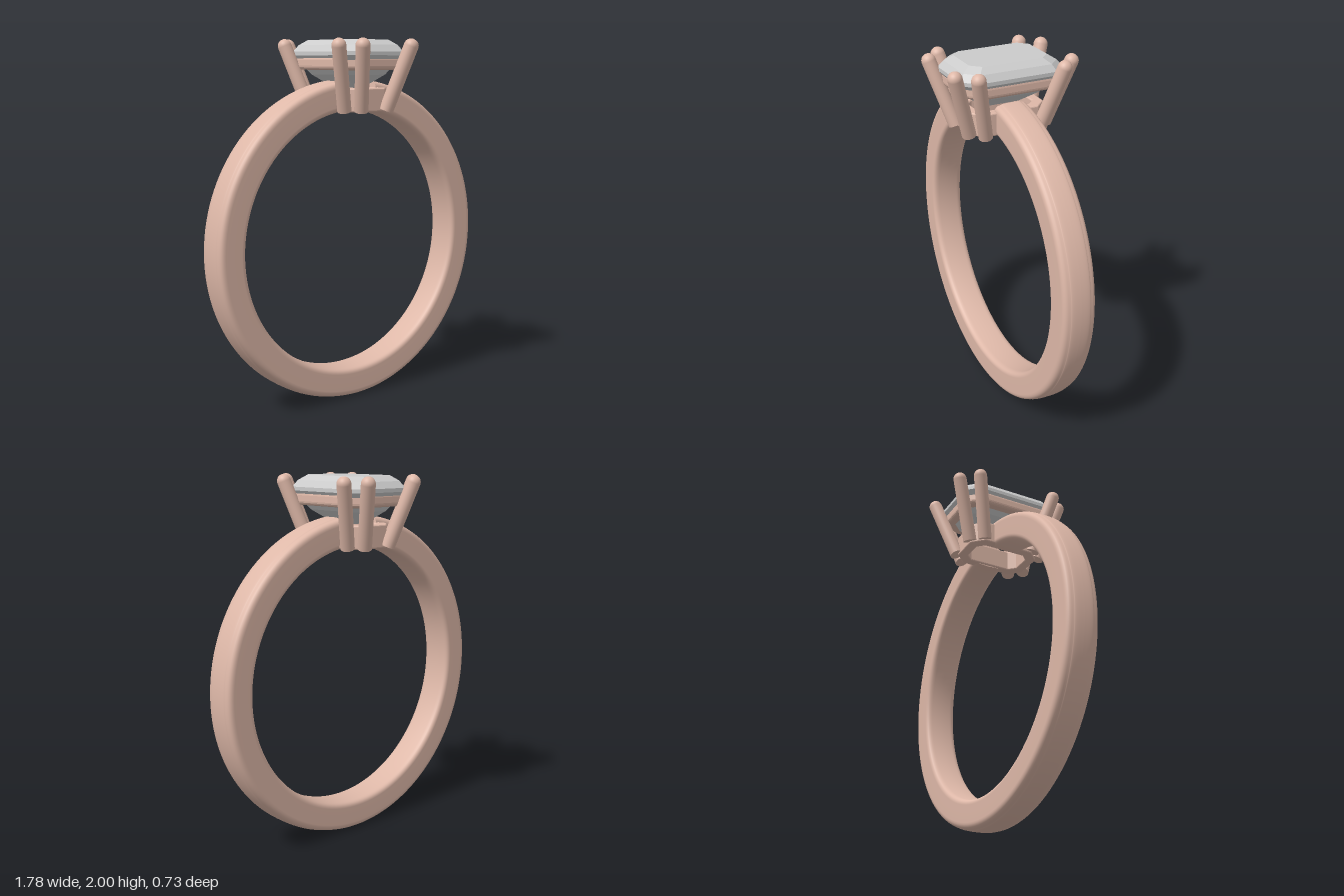
import * as THREE from 'three';
import { ConvexGeometry } from 'three/addons/geometries/ConvexGeometry.js';

const metal = new THREE.MeshStandardMaterial({ color: 0xdeb8a8, side: THREE.DoubleSide });
const gem = new THREE.MeshStandardMaterial({ color: 0xcccccc, flatShading: true });

// Rectangle with cut corners: half width a, half length b, corner cut c
function octagon(a, b, c) {
  return [[a, b - c], [a - c, b], [c - a, b], [-a, b - c], [-a, c - b], [c - a, -b], [a - c, -b], [a, c - b]]
    .map(([x, y]) => new THREE.Vector2(x, y));
}

function add(group, name, geometry, material = metal) {
  const mesh = new THREE.Mesh(geometry, material);
  mesh.name = name;
  group.add(mesh);
  return mesh;
}

// Horizontal cut-corner frame between heights y0 and y1, with softened edges
function frame(a, b, c, t, y0, y1, bevel) {
  const shape = new THREE.Shape(octagon(a - bevel, b - bevel, c));
  shape.holes.push(new THREE.Path(octagon(a - t + bevel, b - t + bevel, c * 0.7).reverse()));
  const geo = new THREE.ExtrudeGeometry(shape, {
    depth: y1 - y0 - 2 * bevel, bevelThickness: bevel, bevelSize: bevel, bevelSegments: 4,
  });
  return geo.rotateX(-Math.PI / 2).translate(0, y0 + bevel, 0);
}

// Rounded band cross-section: radius along x, width along y
function bandSection() {
  const r0 = 0.722, r1 = 0.892, w = 0.092, k = 0.035;
  const s = new THREE.Shape();
  s.moveTo(r1, 0);
  s.quadraticCurveTo(r1, w - k, r1 - 0.006, w - k);
  s.quadraticCurveTo(r1 - 0.008, w, r1 - k - 0.006, w);
  s.lineTo(r0 + k, w);
  s.quadraticCurveTo(r0 + 0.006, w, r0 + 0.004, w - k);
  s.lineTo(r0, 0);
  const half = s.getPoints(6);
  const mirrored = half.slice(1, -1).reverse().map((p) => new THREE.Vector2(p.x, -p.y));
  return [...half, ...mirrored, half[0].clone()];
}

export function createModel() {
  const ring = new THREE.Group();
  ring.name = 'ring';

  // Band, open at the top where the setting sits
  const band = new THREE.Group();
  band.name = 'band';
  band.position.y = 0.894;
  ring.add(band);
  const section = bandSection();
  const end = Math.PI - 0.14;
  add(band, 'bandLoop', new THREE.LatheGeometry(section, 128, -end, 2 * end).rotateX(Math.PI / 2));
  for (const phi of [-end, end]) {
    const cap = new THREE.ShapeGeometry(new THREE.Shape(section.slice(0, -1)));
    add(band, 'bandEnd', cap.rotateY(phi - Math.PI / 2).rotateX(Math.PI / 2));
  }

  // Setting: two rails and eight splayed prongs
  const setting = new THREE.Group();
  setting.name = 'setting';
  ring.add(setting);
  add(setting, 'upperRail', frame(0.2, 0.275, 0.065, 0.07, 1.835, 1.91, 0.022));
  add(setting, 'lowerRail', frame(0.145, 0.215, 0.06, 0.055, 1.615, 1.74, 0.008));

  const r = 0.038;
  const prongs = [
    [[0.085, 1.622, 0.22], [0.164, 1.962, 0.328]],
    [[0.148, 1.622, 0.156], [0.25, 1.962, 0.24]],
  ];
  for (const sx of [1, -1]) for (const sz of [1, -1]) for (const [low, high] of prongs) {
    const a = new THREE.Vector3(low[0] * sx, low[1], low[2] * sz);
    const b = new THREE.Vector3(high[0] * sx, high[1], high[2] * sz);
    const dir = b.clone().sub(a);
    const prong = new THREE.Group();
    prong.name = 'prong';
    prong.position.copy(a);
    prong.quaternion.setFromUnitVectors(new THREE.Vector3(0, 1, 0), dir.clone().normalize());
    const len = dir.length();
    add(prong, 'prongShaft', new THREE.CylinderGeometry(r, r, len, 24).translate(0, len / 2, 0));
    add(prong, 'prongTip', new THREE.SphereGeometry(r, 24, 8, 0, Math.PI * 2, 0, Math.PI / 2).translate(0, len, 0));
    setting.add(prong);
  }

  // Step-cut stone: half width, half length, corner cut, height
  const levels = [
    [0.03, 0.105, 0.012, 1.74],
    [0.13, 0.205, 0.045, 1.81],
    [0.21, 0.29, 0.07, 1.912],
    [0.21, 0.29, 0.07, 1.932],
    [0.185, 0.263, 0.062, 1.967],
    [0.145, 0.22, 0.05, 1.995],
  ];
  const points = levels.flatMap(([a, b, c, y]) => octagon(a, b, c).map((p) => new THREE.Vector3(p.x, y, p.y)));
  add(ring, 'stone', new ConvexGeometry(points), gem);

  return ring;
}
